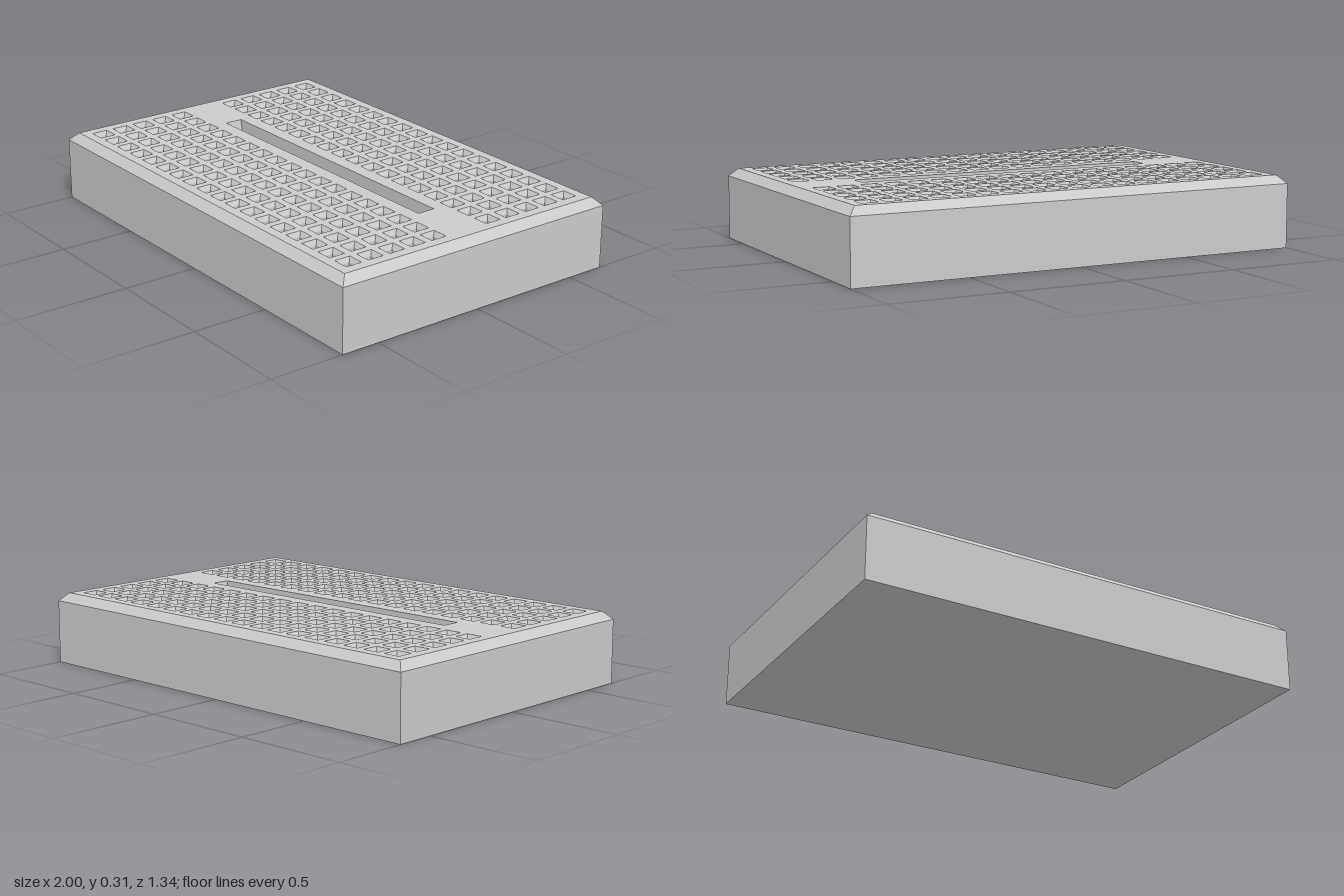
import * as THREE from 'three';
import { mergeGeometries } from 'three/addons/utils/BufferGeometryUtils.js';

const TOP = 0.31, PITCH = 0.104, COLUMNS = 18, ROWS = 5;
const HOLE = 0.036; // half width of a socket mouth
const SLOT = { x: 0.677, z: 0.04 };

// Stacked rectangles [y, halfX, halfZ] from the bottom up, closed at the bottom.
// With inward = true the faces look into the volume, as in a pocket.
function rectLoft(sections, inward = false, cx = 0, cz = 0) {
  const rings = sections.map(([y, hx, hz]) => [[-1, -1], [-1, 1], [1, 1], [1, -1]]
    .map(([sx, sz]) => [cx + sx * hx, y, cz + sz * hz]));
  const positions = [];
  const quad = (a, b, c, d) => {
    const order = inward ? [c, b, a, d, c, a] : [a, b, c, a, c, d];
    order.forEach((p) => positions.push(...p));
  };
  quad(rings[0][3], rings[0][2], rings[0][1], rings[0][0]);
  for (let r = 0; r < rings.length - 1; r++) {
    for (let i = 0; i < 4; i++) {
      const j = (i + 1) % 4;
      quad(rings[r][i], rings[r][j], rings[r + 1][j], rings[r + 1][i]);
    }
  }
  const geometry = new THREE.BufferGeometry();
  geometry.setAttribute('position', new THREE.Float32BufferAttribute(positions, 3));
  geometry.computeVertexNormals();
  return geometry;
}

function rectangle(path, cx, cy, hx, hy) {
  path.moveTo(cx - hx, cy - hy);
  path.lineTo(cx + hx, cy - hy);
  path.lineTo(cx + hx, cy + hy);
  path.lineTo(cx - hx, cy + hy);
  path.closePath();
  return path;
}

export function createModel() {
  const model = new THREE.Group();
  model.name = 'breadboard';
  const material = new THREE.MeshStandardMaterial({ color: 0xcccccc, flatShading: true });
  const add = (name, geometry) => {
    const mesh = new THREE.Mesh(geometry, material);
    mesh.name = name;
    model.add(mesh);
  };

  // Socket centres: two blocks of rows, mirrored about the middle slot
  const centres = [];
  for (let c = 0; c < COLUMNS; c++) {
    for (let r = 0; r < ROWS; r++) {
      for (const side of [-1, 1]) {
        centres.push([(c - (COLUMNS - 1) / 2) * PITCH, side * (0.14 + r * PITCH)]);
      }
    }
  }

  // Block with a chamfered upper rim, open at the top
  add('body', rectLoft([[0, 1, 0.67], [0.275, 1, 0.67], [TOP, 0.965, 0.635]]));

  // Top plate pierced by the sockets and the slot
  const plate = rectangle(new THREE.Shape(), 0, 0, 0.965, 0.635);
  centres.forEach(([x, z]) => plate.holes.push(rectangle(new THREE.Path(), x, -z, HOLE, HOLE)));
  plate.holes.push(rectangle(new THREE.Path(), 0, 0, SLOT.x, SLOT.z));
  add('topPlate', new THREE.ShapeGeometry(plate).rotateX(-Math.PI / 2).translate(0, TOP, 0));

  // Sockets: a bevelled mouth over a straight square well
  add('sockets', mergeGeometries(centres.map(([x, z]) => rectLoft(
    [[0.02, 0.024, 0.024], [TOP - 0.02, 0.024, 0.024], [TOP, HOLE, HOLE]], true, x, z))));

  // Middle slot with slightly sloping ends
  add('middleSlot', rectLoft([[0.21, SLOT.x - 0.02, SLOT.z], [TOP, SLOT.x, SLOT.z]], true));

  return model;
}
